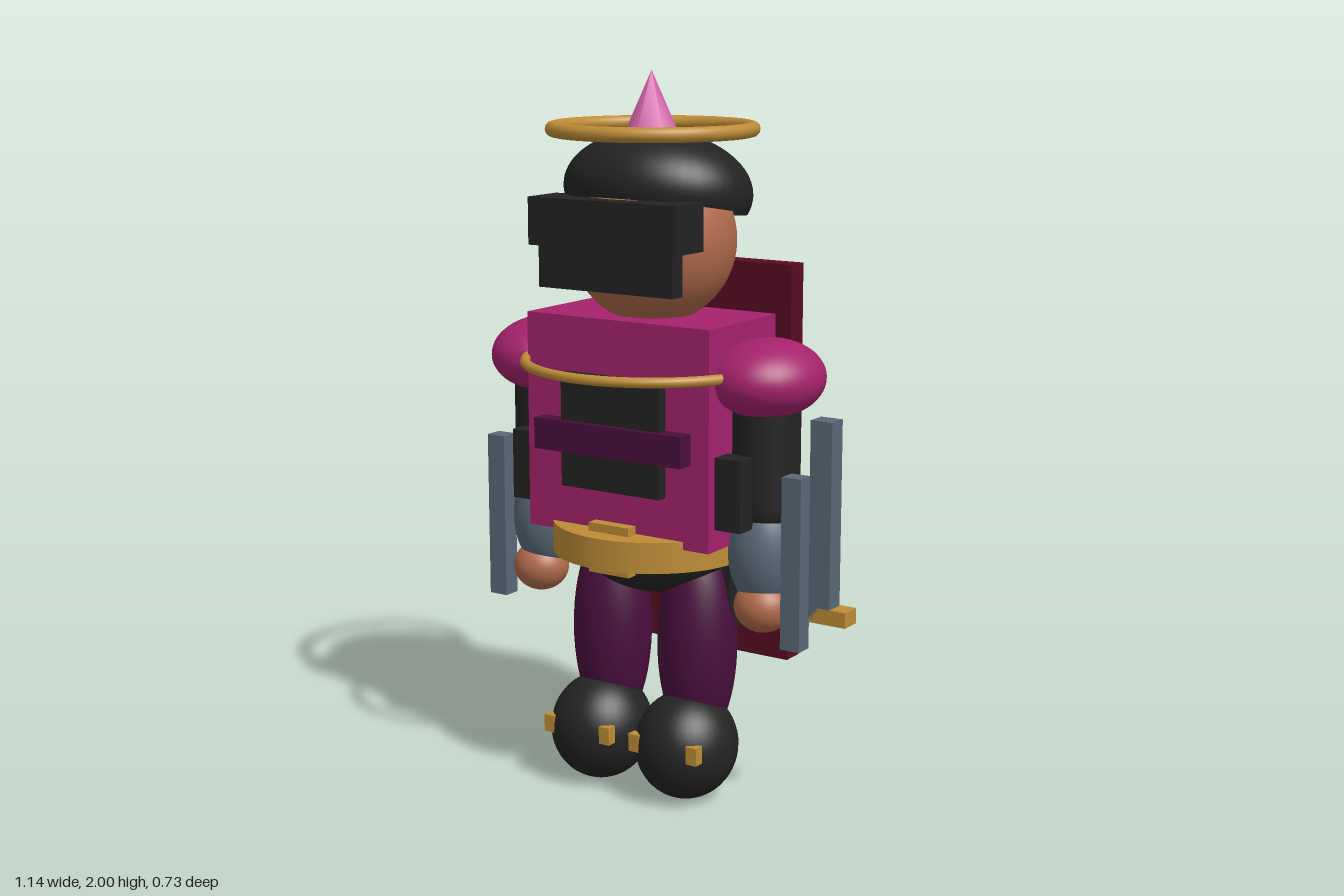
import * as THREE from 'three';

const paint = (name, color) => {
  const m = new THREE.MeshStandardMaterial({ color });
  m.name = name;
  return m;
};

export function createModel() {
  const black = paint('black', 0x232323);
  const magenta = paint('magenta', 0xa5226c);
  const maroon = paint('maroon', 0x580c24);
  const purple = paint('purple', 0x4a0f3d);
  const gold = paint('gold', 0xbd8c36);
  const steel = paint('steel', 0x5a6878);
  const skin = paint('skin', 0xb06a4a);
  const pink = paint('pink', 0xd965ae);

  const model = new THREE.Group();
  model.name = 'armouredFigure';
  // The body sits left of the origin because the sword widens one side.
  const body = new THREE.Group();
  body.name = 'body';
  body.position.x = -0.057;
  model.add(body);

  const add = (name, geometry, material, x, y, z) => {
    const mesh = new THREE.Mesh(geometry, material);
    mesh.name = name;
    mesh.position.set(x, y, z);
    body.add(mesh);
    return mesh;
  };
  const box = (name, mat, w, h, d, x, y, z) =>
    add(name, new THREE.BoxGeometry(w, h, d), mat, x, y, z);
  const ball = (name, mat, rx, ry, rz, x, y, z) =>
    add(name, new THREE.SphereGeometry(1, 40, 28).scale(rx, ry, rz), mat, x, y, z);
  const ring = (name, R, r, y) => {
    const mesh = add(name, new THREE.TorusGeometry(R, r, 12, 64), gold, 0, y, 0);
    mesh.rotation.x = Math.PI / 2;
    return mesh;
  };

  // Head, cap and visor
  ball('head', skin, 0.23, 0.23, 0.222, 0, 1.55, 0);
  const capMat = black.clone();
  capMat.side = THREE.DoubleSide;
  const cap = add('cap',
    new THREE.SphereGeometry(1, 40, 24, 0, Math.PI * 2, 0, Math.PI * 0.59).scale(0.267, 0.16, 0.23),
    capMat, 0, 1.68, -0.024);
  cap.rotation.x = -0.18;
  box('visorBrow', black, 0.472, 0.128, 0.127, 0, 1.607, 0.18);
  box('visorPlate', black, 0.428, 0.17, 0.047, 0, 1.515, 0.204);
  add('spike', new THREE.ConeGeometry(0.07, 0.16, 6), pink, 0, 1.92, 0.005);
  ring('halo', 0.268, 0.02, 1.845);

  // Torso
  box('torso', magenta, 0.587, 0.597, 0.335, 0, 1.052, 0.01);
  box('chestPlate', black, 0.318, 0.312, 0.05, 0, 1.044, 0.185);
  box('chestBand', purple, 0.475, 0.085, 0.06, 0, 1.028, 0.197);
  ring('collarRing', 0.349, 0.014, 1.22);
  box('backPlate', steel, 0.48, 0.57, 0.04, 0, 1.045, -0.195);
  box('cape', maroon, 0.62, 1.12, 0.064, 0, 0.918, -0.244);

  // Belt and hips
  add('belt', new THREE.CylinderGeometry(0.28, 0.28, 0.085, 64), gold, 0, 0.733, -0.003);
  box('buckle', gold, 0.13, 0.138, 0.034, 0, 0.73, 0.2);
  ball('hips', black, 0.235, 0.14, 0.165, 0, 0.71, 0);

  for (const s of [-1, 1]) {
    const side = s > 0 ? 'left' : 'right';
    // Arm
    ball(side + 'Shoulder', magenta, 0.15, 0.106, 0.172, s * 0.362, 1.205, -0.005);
    add(side + 'UpperArm', new THREE.CapsuleGeometry(0.092, 0.26, 8, 32), black, s * 0.362, 1.0, 0);
    ball(side + 'Gauntlet', steel, 0.098, 0.16, 0.098, s * 0.362, 0.735, 0.005);
    ball(side + 'Hand', skin, 0.08, 0.072, 0.078, s * 0.372, 0.588, 0.025);
    box(side + 'ForearmBlade', steel, 0.058, 0.47, 0.052, s * 0.487, 0.73, 0.055);
    // Pouches
    box(side + 'ChestPouch', black, 0.09, 0.195, 0.064, s * 0.328, 0.911, 0.116);
    box(side + 'HipPouch', black, 0.075, 0.2, 0.08, s * 0.21, 0.59, -0.045);
    // Leg
    ball(side + 'Leg', purple, 0.112, 0.3, 0.11, s * 0.143, 0.44, -0.005);
    ball(side + 'Boot', black, 0.142, 0.152, 0.15, s * 0.144, 0.157, 0.05);
    for (const t of [-1, 1]) {
      box(side + 'BootClip', gold, 0.034, 0.05, 0.03, s * 0.144 + t * 0.094, 0.177, 0.16);
    }
  }

  // Sword on the left arm
  box('swordBlade', steel, 0.064, 0.54, 0.056, 0.547, 0.845, 0.005);
  box('swordGuard', gold, 0.14, 0.042, 0.06, 0.557, 0.59, 0.003);

  cap.material = black;
  black.side = THREE.DoubleSide;
  return model;
}
